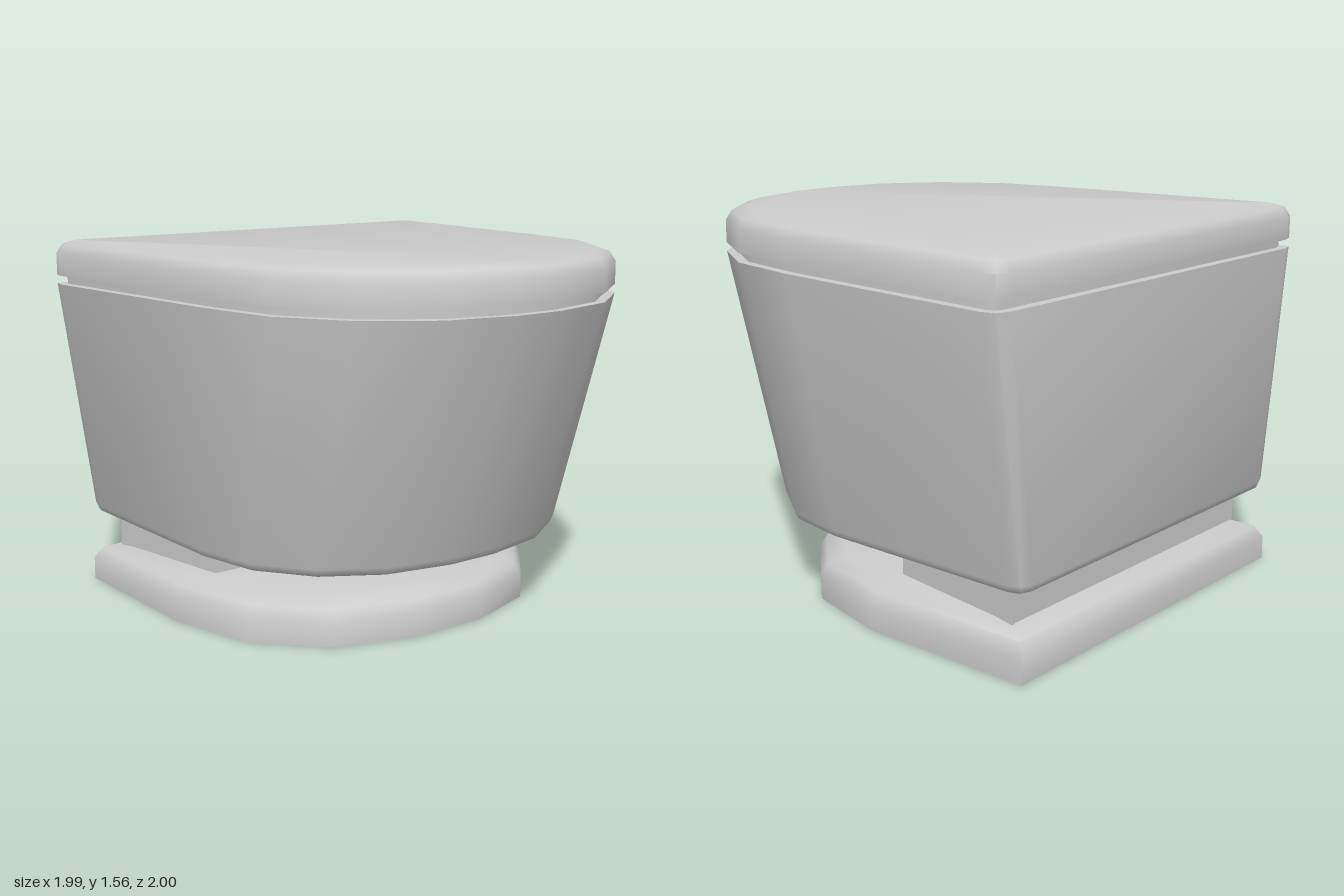
import * as THREE from 'three';
import { toCreasedNormals } from 'three/addons/utils/BufferGeometryUtils.js';

const material = new THREE.MeshStandardMaterial({ color: 0xcccccc });

// Mirrors a half outline of [x, z] (front to back, x > 0) into a closed loop
const mirror = (half) => [...half, ...half.map(([x, z]) => [-x, z]).reverse()];

// Moves every edge of a closed loop inwards by d
function inset(loop, d) {
  const n = loop.length;
  const normal = (a, b) => {
    const dx = b[0] - a[0], dz = b[1] - a[1], l = Math.hypot(dx, dz);
    return [dz / l, -dx / l];
  };
  return loop.map((p, i) => {
    const a = normal(loop[(i + n - 1) % n], p);
    const b = normal(p, loop[(i + 1) % n]);
    const k = d / (1 + a[0] * b[0] + a[1] * b[1]);
    return [p[0] + (a[0] + b[0]) * k, p[1] + (a[1] + b[1]) * k];
  });
}

// Skins a stack of [y, loop] rings from bottom to top and caps both ends
function loft(name, rings) {
  const n = rings[0][1].length;
  const pos = [], idx = [];
  for (const [y, loop] of rings) for (const [x, z] of loop) pos.push(x, y, z);
  for (let r = 0; r < rings.length - 1; r++) {
    for (let i = 0; i < n; i++) {
      const j = (i + 1) % n, a = r * n + i, b = r * n + j;
      idx.push(a, b, b + n, a, b + n, a + n);
    }
  }
  const top = (rings.length - 1) * n;
  for (let i = 1; i < n - 1; i++) {
    idx.push(0, i + 1, i);
    idx.push(top, top + i, top + i + 1);
  }
  const geometry = new THREE.BufferGeometry();
  geometry.setAttribute('position', new THREE.Float32BufferAttribute(pos, 3));
  geometry.setIndex(idx);
  const mesh = new THREE.Mesh(toCreasedNormals(geometry, 0.9), material);
  mesh.name = name;
  return mesh;
}

export function createModel() {
  const group = new THREE.Group();
  group.name = 'bin';

  const rim = mirror([[0.11, 1], [0.41, 0.93], [0.67, 0.74], [0.845, 0.46],
    [0.905, 0.12], [0.995, -0.92], [0.98, -0.98], [0.92, -1]]);
  const floor = mirror([[0.11, 0.66], [0.4, 0.6], [0.64, 0.45], [0.8, 0.22],
    [0.85, -0.05], [0.855, -0.93], [0.84, -0.98], [0.79, -1]]);
  const foot = mirror([[0.17, 0.5], [0.51, 0.39], [0.75, 0.13], [0.85, -0.26], [0.85, -1]]);
  const post = mirror([[0.665, -0.25], [0.765, -0.89]]);

  // Base plate with a rounded upper edge
  group.add(loft('base', [[0, foot], [0.1, foot], [0.15, inset(foot, 0.03)], [0.178, inset(foot, 0.1)]]));

  // Block joining base and body
  group.add(loft('support', [[0.17, post], [0.34, post]]));

  // Tapered body, rounded at the bottom
  group.add(loft('body', [[0.327, inset(floor, 0.035)], [0.337, inset(floor, 0.012)], [0.365, floor], [1.37, rim]]));

  // Recessed strip between body and lid
  const neck = inset(rim, 0.04);
  group.add(loft('neck', [[1.36, neck], [1.42, neck]]));

  // Lid with a rounded upper edge
  group.add(loft('lid', [[1.407, rim], [1.5, rim], [1.54, inset(rim, 0.025)], [1.557, inset(rim, 0.075)]]));

  return group;
}
